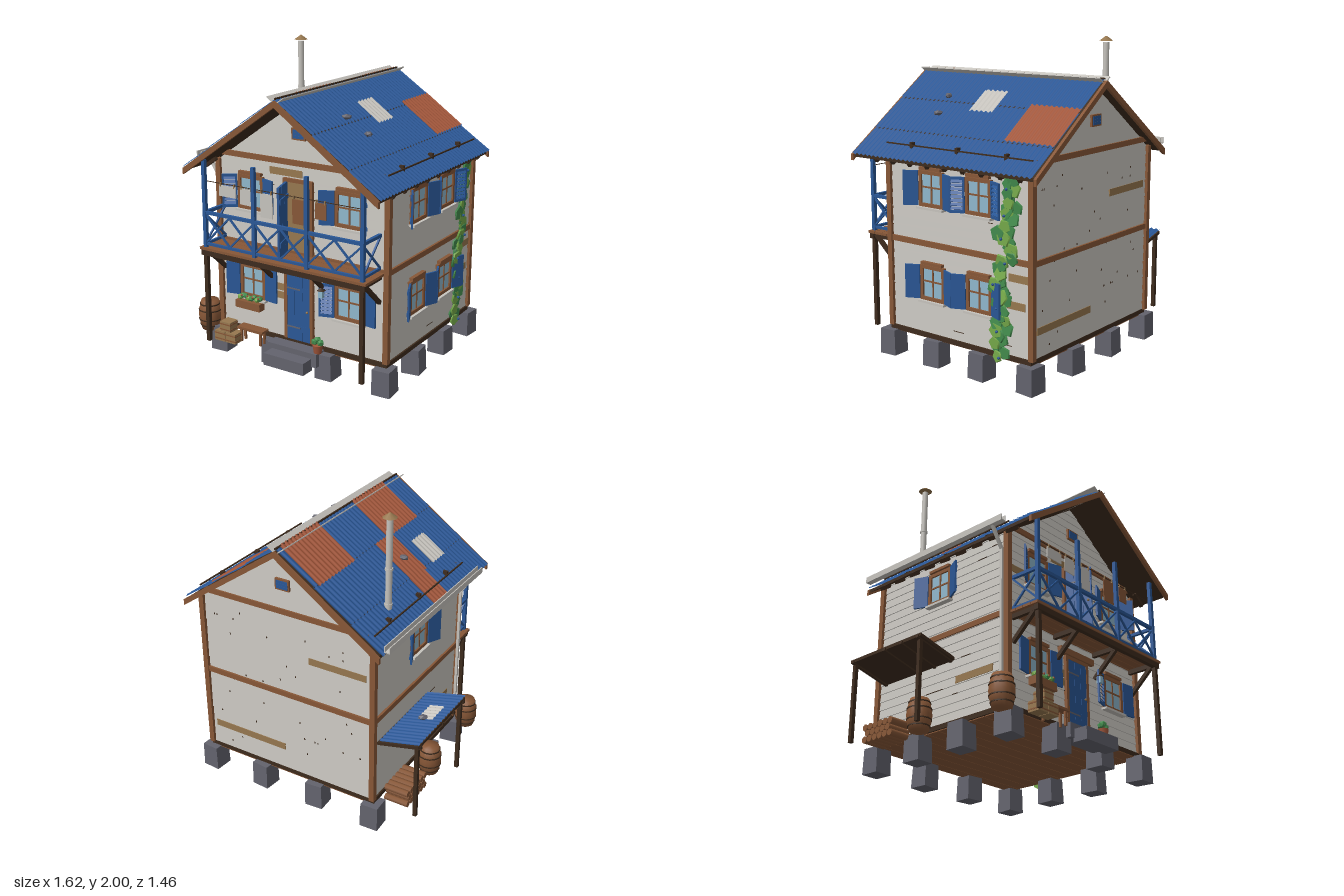
import * as THREE from 'three';

const mat = (name, color) => Object.assign(new THREE.MeshStandardMaterial({ color }), { name });

export function createModel() {
  const plaster = mat('palePaint', 0xc6c3bd), blue = mat('bluePaint', 0x2a5796), wood = mat('brownWood', 0x875737),
    dark = mat('darkWood', 0x3e2c1e), tan = mat('tanWood', 0x96774f), stone = mat('greyStone', 0x63636d),
    rust = mat('rustySheet', 0xa2563a), glass = mat('windowGlass', 0x8fb7cc), green = mat('leafGreen', 0x438c4d),
    lime = mat('lightLeafGreen', 0x76aa4a);
  const model = new THREE.Group();
  let seed = 7;
  const rnd = () => (seed = (seed * 16807) % 2147483647) / 2147483647;

  // ---- helpers ----
  const add = (p, name, geo, m, x = 0, y = 0, z = 0) => {
    const mesh = new THREE.Mesh(geo, m);
    mesh.name = name; mesh.position.set(x, y, z); p.add(mesh);
    return mesh;
  };
  const group = (p, name, x = 0, y = 0, z = 0, ry = 0) => {
    const g = new THREE.Group();
    g.name = name; g.position.set(x, y, z); g.rotation.y = ry; p.add(g);
    return g;
  };
  const box = (p, name, m, w, h, d, x, y, z) => add(p, name, new THREE.BoxGeometry(w, h, d), m, x, y, z);
  const cyl = (p, name, m, r0, r1, h, x, y, z, n = 10) => add(p, name, new THREE.CylinderGeometry(r0, r1, h, n), m, x, y, z);
  const bar = (p, name, m, a, b, t) => {
    const A = new THREE.Vector3(...a), B = new THREE.Vector3(...b);
    const mesh = box(p, name, m, t, t, A.distanceTo(B), 0, 0, 0);
    mesh.position.copy(A).lerp(B, 0.5);
    mesh.lookAt(B);
    return mesh;
  };
  const extrude = (pts, depth) => new THREE.ExtrudeGeometry(
    new THREE.Shape(pts.map(p => new THREE.Vector2(...p))), { depth, bevelEnabled: false });
  const roofY = x => 1.775 - 0.7 * Math.abs(x - 0.1);
  // corrugated sheet with ribs running along x
  const sheet = (p, name, m, x0, x1, z0, z1, yFn) => {
    const g = new THREE.PlaneGeometry(x1 - x0, z1 - z0, 1, Math.round((z1 - z0) / 0.006));
    g.rotateX(-Math.PI / 2).translate((x0 + x1) / 2, 0, (z0 + z1) / 2);
    const v = g.attributes.position;
    for (let i = 0; i < v.count; i++)
      v.setY(i, yFn(v.getX(i)) + 0.005 * Math.sin(v.getZ(i) * 2 * Math.PI / 0.036));
    g.computeVertexNormals();
    return add(p, name, g, m);
  };
  // overlapping boards facing +z, trimmed by a half width that depends on height
  const siding = (half, y0, y1) => {
    const pos = [];
    const quad = (a, b, c, d) => pos.push(...a, ...b, ...c, ...a, ...c, ...d);
    const step = 0.055;
    for (let y = y0; y < y1 - 0.001; y += step) {
      const t = Math.min(y + step, y1), a = half(y), b = half(t);
      quad([-a, y, 0.011], [a, y, 0.011], [b, t, 0.005], [-b, t, 0.005]);
      quad([-a, y, 0], [a, y, 0], [a, y, 0.011], [-a, y, 0.011]);
    }
    const g = new THREE.BufferGeometry();
    g.setAttribute('position', new THREE.Float32BufferAttribute(pos, 3));
    g.computeVertexNormals();
    return g;
  };

  // ---- foundations and floor ----
  const base = group(model, 'foundation');
  for (let i = 0; i < 4; i++) for (let j = 0; j < 4; j++) {
    if (i % 3 && j % 3) continue;
    const b = add(base, 'stoneBlock', new THREE.CylinderGeometry(0.082, 0.087, 0.165, 4, 1).toNonIndexed(), stone,
      -0.515 + i * 0.41, 0.087, 0.47 - j * 0.367);
    b.geometry.rotateY(Math.PI / 4); b.geometry.computeVertexNormals();
    b.rotation.set((rnd() - 0.5) * 0.06, (rnd() - 0.5) * 0.25, (rnd() - 0.5) * 0.06);
  }
  box(base, 'floorSlab', dark, 1.26, 0.03, 1.12, 0.1, 0.183, -0.085);
  for (let i = 0; i < 12; i++) box(base, 'floorPlank', wood, 1.24, 0.008, 0.088, 0.1, 0.166, -0.6 + i * 0.0935);
  box(base, 'upperStep', stone, 0.37, 0.09, 0.1, 0.095, 0.135, 0.515);
  box(base, 'lowerStep', stone, 0.3, 0.08, 0.1, 0.095, 0.105, 0.605);

  // ---- walls ----
  const walls = group(model, 'walls');
  add(walls, 'wallCore', extrude([[-0.51, 0.19], [0.71, 0.19], [0.71, 1.31], [0.1, 1.735], [-0.51, 1.31]], 1.09), plaster, 0, 0, -0.635);
  const front = group(walls, 'frontWall', 0, 0, 0.455, 0), back = group(walls, 'backWall', 0, 0, -0.635, Math.PI);
  const left = group(walls, 'leftWall', 0.71, 0, 0, Math.PI / 2), right = group(walls, 'rightWall', -0.51, 0, 0, -Math.PI / 2);
  const gable = y => Math.max(0.001, Math.min(0.61, (1.735 - y) / 0.7));
  for (const [w, c, len, isGable] of [[front, 0.1, 1.22, true], [back, -0.1, 1.22, true], [left, 0.09, 1.09, false], [right, -0.09, 1.09, false]]) {
    add(w, 'siding', siding(isGable ? gable : () => len / 2, 0.2, isGable ? 1.73 : 1.31), plaster, c);
    box(w, 'middleBand', wood, len, 0.035, 0.022, c, 0.77, 0.01);
    if (isGable) {
      box(w, 'gableBand', wood, len - 0.04, 0.035, 0.022, c, 1.35, 0.01);
      box(w, 'ventFrame', wood, 0.1, 0.072, 0.024, c, 1.53, 0.01);
      for (let k = -1; k < 2; k++) box(w, 'ventSlat', blue, 0.08, 0.017, 0.026, c, 1.53 + k * 0.018, 0.012);
    }
    // cracks, or nail marks on the back
    const marks = w === back ? 36 : 8;
    for (let k = 0; k < marks; k++)
      box(w, 'boardMark', dark, w === back ? 0.006 : 0.03 + rnd() * 0.07, w === back ? 0.012 : 0.004, 0.004,
        c + (rnd() - 0.5) * (len - 0.15), 0.255 + 0.055 * Math.floor(rnd() * 19), 0.0105);
  }
  for (const x of [-0.52, 0.72]) for (const z of [0.465, -0.645])
    box(walls, 'cornerPost', wood, 0.035, 1.11, 0.035, x, 0.75, z);
  // replacement boards
  for (const [w, u, y, l] of [[front, 0, 1.282, 0.24], [front, -0.04, 0.53, 0.13], [front, -0.04, 0.475, 0.1], [front, -0.44, 1.07, 0.12],
    [back, 0.27, 1.06, 0.4], [back, -0.4, 0.36, 0.55], [left, 0.55, 0.67, 0.15], [left, 0.53, 0.505, 0.13], [right, 0.2, 0.45, 0.3]])
    box(w, 'patchBoard', tan, l, 0.045, 0.008, u, y, 0.01);

  // ---- windows with hinged shutters ----
  const shutter = (p, s, louvre, open) => {
    const g = group(p, 'shutter', s * 0.1, 0, 0.018, -s * open);
    const c = s * 0.049;
    if (louvre) {
      for (const k of [-1, 1]) {
        box(g, 'shutterStile', blue, 0.012, 0.215, 0.012, c + k * 0.042, 0, 0);
        box(g, 'shutterRail', blue, 0.09, 0.016, 0.012, c, k * 0.1, 0);
      }
      for (let i = 0; i < 8; i++) box(g, 'louvre', blue, 0.076, 0.02, 0.004, c, -0.08 + i * 0.023, 0).rotation.x = -0.7;
    } else {
      box(g, 'shutterPanel', blue, 0.095, 0.215, 0.012, c, 0, 0);
      for (const k of [-1, 1]) box(g, 'shutterBatten', blue, 0.08, 0.018, 0.008, c, k * 0.07, -0.008);
    }
  };
  const windowAt = (p, u, y, l0, l1, o0, o1) => {
    const g = group(p, 'window', u, y, 0.008);
    box(g, 'pane', glass, 0.17, 0.2, 0.012, 0, 0, 0.002);
    for (const s of [-1, 1]) {
      box(g, 'windowJamb', wood, 0.022, 0.22, 0.026, s * 0.087, 0, 0.006);
      box(g, 'windowRail', wood, 0.19, 0.022, 0.026, 0, s * 0.1, 0.006);
    }
    box(g, 'mullion', wood, 0.01, 0.2, 0.018, 0, 0, 0.004);
    box(g, 'crossbar', wood, 0.17, 0.01, 0.018, 0, 0.01, 0.004);
    box(g, 'lintel', wood, 0.17, 0.018, 0.036, 0, 0.125, 0.01);
    box(g, 'sill', plaster, 0.21, 0.014, 0.045, 0, -0.118, 0.016);
    shutter(g, -1, l0, o0); shutter(g, 1, l1, o1);
  };
  windowAt(front, -0.265, 1.115, true, false, 0.6, 0.3);
  windowAt(front, 0.46, 1.115, false, false, 0.4, 0.9);
  windowAt(front, -0.26, 0.525, false, false, 0.2, 0.1);
  windowAt(front, 0.46, 0.525, true, false, 0.3, 0.1);
  windowAt(left, -0.11, 1.115, false, false, 0.5, 0.4);
  windowAt(left, 0.26, 1.115, true, true, 0.45, 0.4);
  windowAt(left, -0.11, 0.525, false, false, 0.4, 0.4);
  windowAt(left, 0.26, 0.525, false, false, 0.4, 0.4);
  windowAt(right, -0.1, 1.115, false, false, 0.4, 0.45);

  // ---- doors ----
  for (const [name, y0, h] of [['lowerDoor', 0.2, 0.43], ['upperDoor', 0.78, 0.45]]) {
    const d = group(front, name, 0.095, y0, 0);
    for (const s of [-1, 1]) box(d, 'doorJamb', wood, 0.022, h, 0.035, s * 0.097, h / 2, 0.012);
    box(d, 'doorHead', wood, 0.215, 0.022, 0.035, 0, h + 0.01, 0.012);
    const open = name === 'upperDoor';
    if (open) box(d, 'doorway', tan, 0.175, h, 0.008, 0, h / 2, 0.012);
    else box(d, 'doorLintel', wood, 0.32, 0.04, 0.04, 0, h + 0.045, 0.016);
    const leaf = group(d, 'doorLeaf', -0.087, 0, 0.02, open ? -1.25 : 0);
    for (let i = 0; i < 3; i++) box(leaf, 'doorPlank', blue, 0.056, h, 0.014, 0.03 + i * 0.058, h / 2, 0);
    for (const k of [0.2, 0.8]) {
      box(leaf, 'doorBatten', blue, 0.165, 0.03, 0.022, 0.088, h * k, -0.003);
      box(leaf, 'hinge', stone, 0.1, 0.01, 0.02, 0.05, h * k, 0);
    }
    add(leaf, 'knob', new THREE.SphereGeometry(0.008, 8, 6), tan, 0.155, h * 0.48, 0.014);
  }

  // ---- balcony ----
  const balcony = group(model, 'balcony'), px = [-0.48, -0.1, 0.285, 0.67];
  for (let i = 0; i < 4; i++) box(balcony, 'deckBoard', wood, 1.22, 0.016, 0.053, 0.095, 0.765, 0.495 + i * 0.056);
  box(balcony, 'frontBeam', dark, 1.2, 0.035, 0.03, 0.095, 0.738, 0.67);
  px.forEach((x, i) => {
    box(balcony, 'joist', dark, 0.025, 0.03, 0.21, x, 0.742, 0.57);
    box(balcony, 'upperPost', blue, 0.024, 0.57, 0.024, x, 1.055, 0.665);
    bar(balcony, 'brace', dark, [x, 0.735, 0.64], [x, 0.58, 0.47], 0.024);
    if (i % 3 === 0) box(balcony, 'lowerPost', dark, 0.026, 0.61, 0.026, x, 0.44, 0.665);
  });
  const rail = (a, b) => {
    const P = (q, y) => [q[0], y, q[1]];
    bar(balcony, 'handrail', blue, P(a, 1.0), P(b, 1.0), 0.02);
    bar(balcony, 'bottomRail', blue, P(a, 0.795), P(b, 0.795), 0.016);
    bar(balcony, 'crossBrace', blue, P(a, 0.8), P(b, 0.99), 0.011);
    bar(balcony, 'crossBrace', blue, P(a, 0.99), P(b, 0.8), 0.011);
  };
  for (let i = 0; i < 3; i++) {
    const m = (px[i] + px[i + 1]) / 2;
    rail([px[i], 0.665], [m, 0.665]); rail([m, 0.665], [px[i + 1], 0.665]);
  }
  rail([px[0], 0.665], [px[0], 0.47]); rail([px[3], 0.665], [px[3], 0.47]);
  // washing line
  bar(balcony, 'washingLine', dark, [-0.48, 1.2, 0.65], [0.67, 1.2, 0.65], 0.004);
  for (const [x, y, w, h, m] of [[-0.31, 1.155, 0.13, 0.07, plaster], [-0.165, 1.14, 0.09, 0.1, plaster], [-0.015, 1.11, 0.09, 0.15, plaster],
    [0.225, 1.11, 0.1, 0.15, wood], [0.375, 1.14, 0.075, 0.1, wood]]) {
    box(balcony, 'laundry', m, w, h, 0.006, x, y, 0.65).rotation.z = (rnd() - 0.5) * 0.1;
    for (const s of [-1, 1]) box(balcony, 'peg', tan, 0.006, 0.025, 0.012, x + s * w * 0.4, 1.195, 0.65);
  }
  box(balcony, 'lanternBody', glass, 0.03, 0.045, 0.03, 0.285, 0.565, 0.51);
  cyl(balcony, 'lanternCap', dark, 0.006, 0.028, 0.02, 0.285, 0.597, 0.51, 6);

  // ---- roof ----
  const roof = group(model, 'roof');
  const chevron = (e, top, bot) => [[0.1 - e, roofY(0.1 - e) + top], [0.1 - e, roofY(0.1 - e) + bot], [0.1, 1.775 + bot],
    [0.1 + e, roofY(0.1 + e) + bot], [0.1 + e, roofY(0.1 + e) + top], [0.1, 1.775 + top]];
  add(roof, 'roofDeck', extrude(chevron(0.69, -0.006, -0.028), 1.41), dark, 0, 0, -0.71);
  for (const z of [-0.73, 0.705]) add(roof, 'bargeBoard', extrude(chevron(0.7, -0.004, -0.044), 0.02), wood, 0, 0, z);
  const rows = [0, 0.255, 0.5, 0.705];
  for (const s of [-1, 1]) {
    for (let i = 0; i < 3; i++) {
      const a = 0.1 + s * rows[i], b = 0.1 + s * (rows[i + 1] + 0.006);
      sheet(roof, 'roofSheet', blue, Math.min(a, b), Math.max(a, b), -0.71, 0.71,
        x => roofY(x) + 0.003 + 0.008 * (Math.abs(x - 0.1) - rows[i]) / (rows[i + 1] - rows[i]));
    }
    // upturned ridge flashing
    add(roof, 'ridgeFlashing', extrude([[0.1, 1.745], [0.1 + s * 0.057, 1.785], [0.1 + s * 0.055, 1.791], [0.1, 1.752]], 1.42), plaster, 0, 0, -0.71);
    for (let i = 0; i < 9; i++) {
      const z = -0.6 + i * 0.14;
      bar(roof, 'rafterTail', dark, [0.1 + s * 0.6, roofY(0.7) - 0.04, z], [0.1 + s * 0.685, roofY(0.785) - 0.04, z], 0.024);
    }
    // snow guard
    const gx = 0.1 + s * 0.625, gy = roofY(gx) + 0.03;
    bar(roof, 'snowGuard', dark, [gx, gy, -0.65], [gx, gy, 0.48], 0.008);
    for (const z of [-0.45, -0.08, 0.285]) box(roof, 'guardBracket', dark, 0.03, 0.036, 0.02, gx - s * 0.022, gy - 0.002, z);
  }
  bar(roof, 'ridgeRod', dark, [0.1, 1.78, -0.71], [0.1, 1.78, 0.71], 0.01);
  for (const [x0, x1, z0, z1] of [[-0.17, 0.1, -0.67, -0.27], [-0.17, 0.1, 0.12, 0.51], [-0.605, -0.41, -0.03, 0.15],
    [-0.42, -0.16, -0.02, 0.18], [0.335, 0.6, -0.71, -0.35]])
    sheet(roof, 'rustySheet', rust, x0, x1, z0, z1, x => roofY(x) + 0.014);
  for (const [x0, x1, z0, z1] of [[-0.42, -0.26, 0.26, 0.43], [0.26, 0.42, -0.11, 0.07]])
    sheet(roof, 'paleSheet', plaster, x0, x1, z0, z1, x => roofY(x) + 0.018);
  const rock = (x, y, z) => {
    const r = add(roof, 'roofStone', new THREE.IcosahedronGeometry(0.03, 0), stone, x, y, z);
    r.scale.set(0.8, 0.6, 1.1); r.rotation.y = rnd() * 3;
  };
  for (const [x, z] of [[-0.31, 0.08], [0.335, 0.31], [0.47, 0.28]]) rock(x, roofY(x) + 0.025, z);
  // gutter and downpipe
  add(roof, 'gutter', extrude([[-0.648, 1.345], [-0.648, 1.305], [-0.61, 1.305], [-0.61, 1.345], [-0.616, 1.345], [-0.616, 1.312],
    [-0.642, 1.312], [-0.642, 1.345]], 1.22), plaster, 0, 0, -0.69);
  bar(roof, 'downpipe', plaster, [-0.628, 1.31, 0.44], [-0.545, 1.18, 0.44], 0.018);
  bar(roof, 'downpipe', plaster, [-0.545, 1.18, 0.44], [-0.545, 0.36, 0.44], 0.018);
  // chimney pipe
  cyl(roof, 'chimneyPipe', plaster, 0.02, 0.02, 0.57, -0.45, 1.675, -0.36, 12);
  for (const y of [1.42, 1.65]) cyl(roof, 'chimneyCollar', plaster, 0.025, 0.025, 0.014, -0.45, y, -0.36, 12);
  cyl(roof, 'chimneyCap', tan, 0.004, 0.045, 0.03, -0.45, 1.985, -0.36, 10);

  // ---- lean-to shelter ----
  const shed = group(model, 'leanTo'), shedY = x => 0.605 - 0.24 * (x + 0.53);
  sheet(shed, 'shedSheet', blue, -0.8, -0.53, -0.6, 0.04, x => shedY(x) + 0.01);
  add(shed, 'shedDeck', extrude([[-0.8, shedY(-0.8)], [-0.8, shedY(-0.8) - 0.02], [-0.52, shedY(-0.52) - 0.02], [-0.52, shedY(-0.52)]], 0.63), dark, 0, 0, -0.595);
  sheet(shed, 'shedPaleSheet', plaster, -0.74, -0.64, -0.31, -0.14, x => shedY(x) + 0.02);
  rock(-0.68, shedY(-0.68) + 0.035, -0.31);
  for (const z of [-0.57, -0.28, -0.13, 0.01]) bar(shed, 'shedRafter', dark, [-0.808, shedY(-0.808) - 0.02, z], [-0.52, shedY(-0.52) - 0.02, z], 0.02);
  for (const z of [-0.57, 0.01]) box(shed, 'shedPost', dark, 0.024, 0.5, 0.024, -0.78, 0.385, z);
  for (let r = 0; r < 3; r++) for (let i = 0; i < 6 - r % 2; i++)
    cyl(shed, 'firewood', wood, 0.022, 0.022, 0.16, -0.63, 0.162 + r * 0.038, -0.53 + (i + (r % 2) / 2) * 0.045, 7).rotation.z = Math.PI / 2;

  // ---- yard items ----
  const yard = group(model, 'yardItems');
  for (const [x, z] of [[-0.605, 0.5], [-0.645, -0.12]]) {
    const b = group(yard, 'barrel', x, 0.135, z);
    add(b, 'barrelBody', new THREE.LatheGeometry([[0, 0], [0.058, 0], [0.073, 0.06], [0.077, 0.1], [0.073, 0.14], [0.058, 0.2], [0, 0.2]]
      .map(p => new THREE.Vector2(...p)), 14), wood);
    for (const [y, r] of [[0.03, 0.068], [0.07, 0.077], [0.135, 0.077], [0.175, 0.068]]) cyl(b, 'barrelHoop', dark, r, r, 0.008, 0, y, 0, 14);
  }
  for (const [x, y] of [[-0.415, 0.17], [-0.33, 0.17], [-0.37, 0.24]]) {
    box(yard, 'crate', tan, 0.08, 0.066, 0.08, x, y, 0.6);
    for (const s of [-1, 1]) box(yard, 'crateSlat', wood, 0.084, 0.008, 0.084, x, y + s * 0.018, 0.6);
  }
  box(yard, 'benchSeat', wood, 0.2, 0.014, 0.07, -0.215, 0.235, 0.55);
  for (const x of [-0.29, -0.14]) for (const z of [0.53, 0.57]) box(yard, 'benchLeg', wood, 0.014, 0.09, 0.014, x, 0.185, z);
  const bush = (p, x, y, z, r, m) => add(p, 'foliage', new THREE.IcosahedronGeometry(r, 0), m, x, y, z).rotation.set(rnd(), rnd(), rnd());
  cyl(yard, 'flowerPot', rust, 0.034, 0.024, 0.055, 0.27, 0.205, 0.53);
  for (const [x, y] of [[0.25, 0.25], [0.29, 0.25], [0.27, 0.265]]) bush(yard, x, y, 0.53, 0.024, green);
  box(yard, 'flowerBox', wood, 0.19, 0.05, 0.055, -0.265, 0.375, 0.51);
  for (let i = 0; i < 8; i++) {
    bush(yard, -0.34 + i * 0.022, 0.415 + rnd() * 0.015, 0.51, 0.02, i % 3 ? green : lime);
    if (i % 2) bush(yard, -0.34 + i * 0.022, 0.435, 0.525, 0.008, rust);
  }

  // ---- climbing vine ----
  const vine = group(model, 'vine');
  const path = new THREE.CatmullRomCurve3([[0.18, -0.41], [0.35, -0.44], [0.5, -0.43], [0.65, -0.4], [0.8, -0.48], [0.95, -0.45], [1.1, -0.52], [1.28, -0.49]]
    .map(([y, z]) => new THREE.Vector3(0.73, y, z)));
  add(vine, 'vineStem', new THREE.TubeGeometry(path, 40, 0.008, 5), green);
  for (let i = 0; i < 46; i++) {
    const c = path.getPoint(i / 45), r = 0.036 + rnd() * 0.02;
    const leaf = cyl(vine, 'vineLeaf', i % 3 ? green : lime, r * 0.9, r, 0.01, c.x + rnd() * 0.025, c.y, c.z + (rnd() - 0.5) * 0.08, 5);
    leaf.rotation.set(rnd() * 3, 0, -Math.PI / 2 + (rnd() - 0.5) * 0.5);
    if (i % 6 === 0) add(vine, 'berry', new THREE.IcosahedronGeometry(0.01, 0), blue, 0.763, c.y, c.z + (rnd() - 0.5) * 0.05);
  }
  return model;
}
